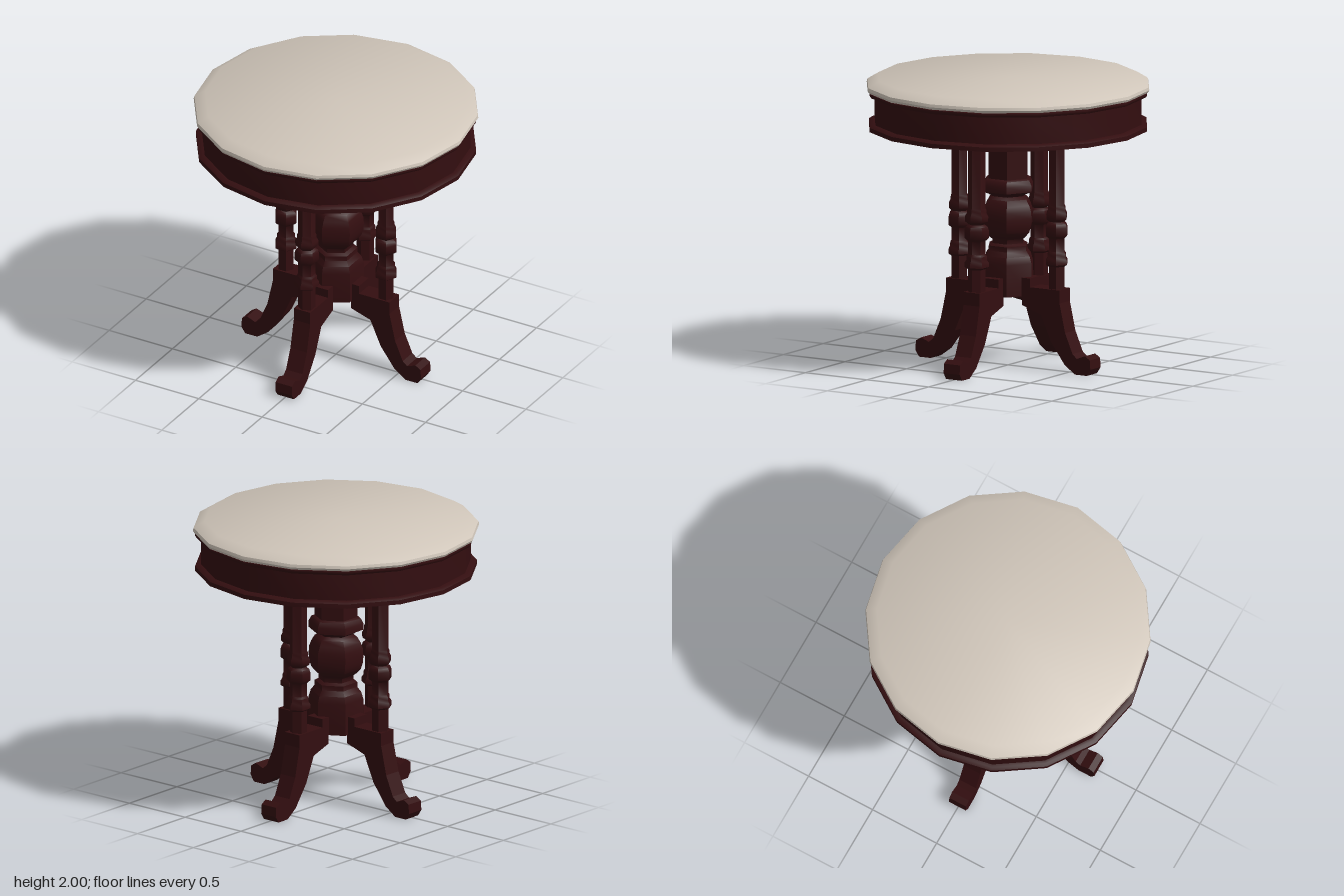
import * as THREE from 'three';
import { toCreasedNormals } from 'three/addons/utils/BufferGeometryUtils.js';

const wood = new THREE.MeshStandardMaterial({ color: 0x330e10 });
wood.name = 'dark mahogany';
const marble = new THREE.MeshStandardMaterial({ color: 0xcfc5b9 });
marble.name = 'pale marble';

// Turned part from [radius, height] pairs, bottom to top
function turned(name, profile, sides, material, crease) {
  const points = profile.map(([r, y]) => new THREE.Vector2(r, y));
  let geometry = new THREE.LatheGeometry(points, sides);
  if (crease) geometry = toCreasedNormals(geometry, crease);
  const mesh = new THREE.Mesh(geometry, material);
  mesh.name = name;
  return mesh;
}

export function createModel() {
  const table = new THREE.Group();
  table.name = 'pedestalTable';

  // Bevelled sixteen-sided top, softly shaded
  table.add(turned('marbleTop', [
    [0, 1.918], [0.97, 1.918], [0.98, 1.935], [0.975, 1.955], [0.9, 2], [0, 2],
  ], 16, marble, 0.75));

  // Apron with mouldings above and below
  table.add(turned('apron', [
    [0, 1.65], [0.965, 1.65], [0.965, 1.68], [0.945, 1.692], [0.925, 1.695],
    [0.925, 1.88], [0.955, 1.885], [0.965, 1.9], [0.965, 1.912], [0.93, 1.918], [0, 1.918],
  ], 16, wood, 0.6));

  // Hexagonal central column with a ball in the middle
  table.add(turned('centreColumn', [
    [0, 0.5], [0.19, 0.5], [0.19, 0.72], [0.175, 0.77], [0.148, 0.805],
    [0.148, 0.84], [0.12, 0.855], [0.12, 0.885], [0.14, 0.9], [0.172, 0.935],
    [0.187, 0.98], [0.19, 1.03], [0.187, 1.08], [0.172, 1.12], [0.148, 1.16],
    [0.118, 1.18], [0.148, 1.2], [0.19, 1.215], [0.19, 1.26], [0.172, 1.295],
    [0.15, 1.305], [0.15, 1.66],
  ], 6, wood, 0.9));

  // Side profile of a bracket leg, x measured outwards from the centre
  const legShape = new THREE.Shape([
    [0.1, 0.5], [0.155, 0.5], [0.155, 0.44], [0.31, 0.39], [0.39, 0.21],
    [0.5, 0.06], [0.585, 0], [0.68, 0], [0.71, 0.045], [0.705, 0.11],
    [0.665, 0.135], [0.6, 0.11], [0.565, 0.14], [0.505, 0.28], [0.46, 0.48],
    [0.46, 0.57], [0.22, 0.57], [0.22, 0.63], [0.1, 0.63],
  ].map(([x, y]) => new THREE.Vector2(x, y)));
  const legGeometry = new THREE.ExtrudeGeometry(legShape, { depth: 0.13, bevelEnabled: false });
  legGeometry.translate(0, 0, -0.065);

  const spindleProfile = [
    [0.06, 0.56], [0.06, 0.725], [0.083, 0.74], [0.083, 0.77], [0.07, 0.79],
    [0.07, 0.815], [0.06, 0.83], [0.06, 0.92], [0.083, 0.94], [0.083, 0.995],
    [0.075, 1.02], [0.055, 1.035], [0.078, 1.055], [0.08, 1.09], [0.067, 1.115],
    [0.067, 1.135], [0.06, 1.15], [0.06, 1.66],
  ];

  // Four legs, each carrying a hexagonal turned spindle
  ['left', 'back', 'right', 'front'].forEach((side, i) => {
    const support = new THREE.Group();
    support.name = side + 'Support';
    const leg = new THREE.Mesh(legGeometry, wood);
    leg.name = side + 'Leg';
    const spindle = turned(side + 'Spindle', spindleProfile, 6, wood, 0.9);
    spindle.position.x = 0.395;
    spindle.rotation.y = Math.PI / 2;
    support.add(leg, spindle);
    support.rotation.y = i * Math.PI / 2;
    table.add(support);
  });

  return table;
}
